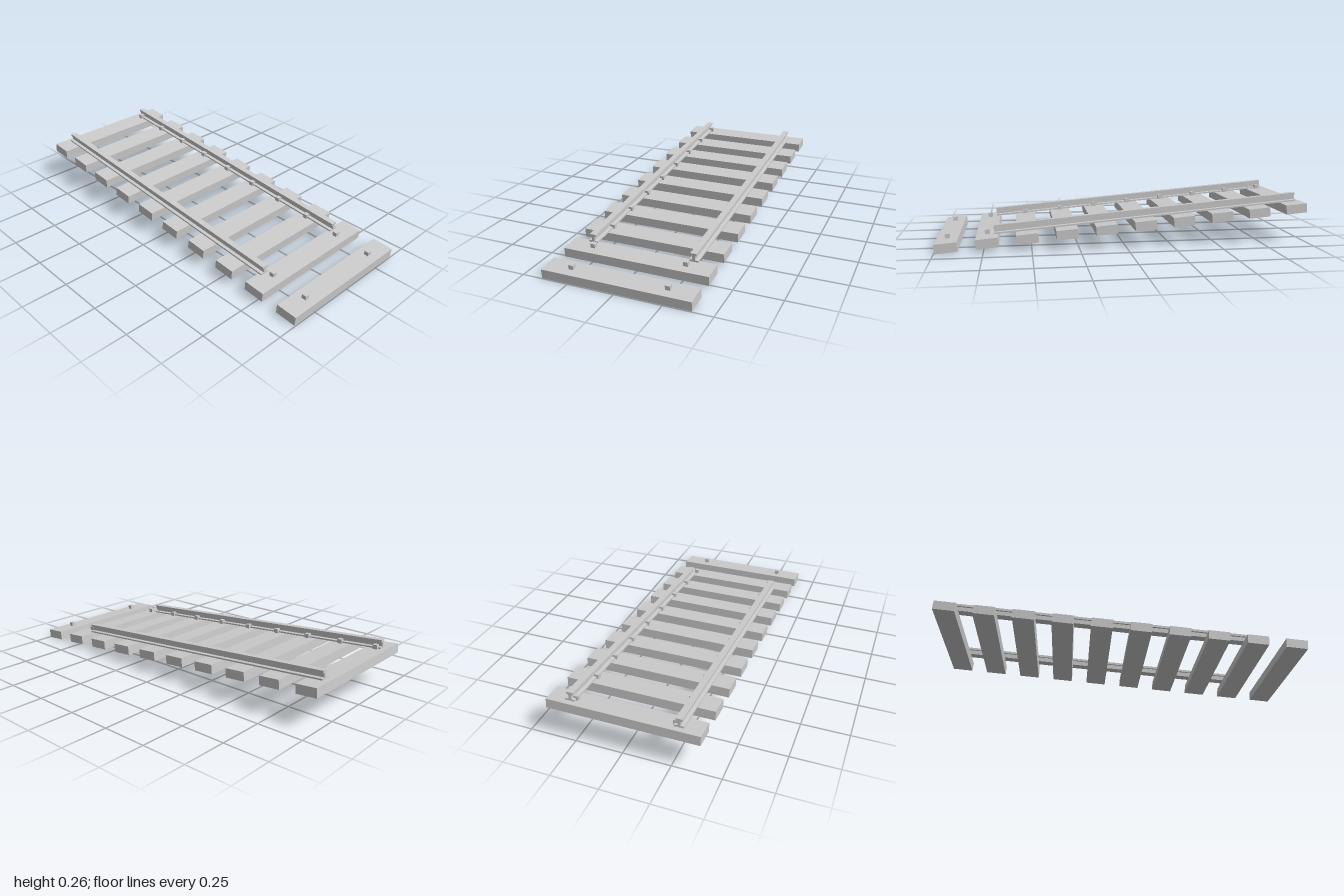
import * as THREE from 'three';

const SLOPE = 0.0834;
const TIES = 10;
const PITCH = 0.2095;

export function createModel() {
  const model = new THREE.Group();
  model.name = 'inclinedTrack';
  const material = new THREE.MeshStandardMaterial({ color: 0xcccccc, flatShading: true });

  // Everything sits in a tilted frame whose y = 0 is the top of the sleepers
  const track = new THREE.Group();
  track.name = 'track';
  track.rotation.x = SLOPE;
  track.position.set(0, 0.1335, 0.002);
  model.add(track);

  const add = (name, geometry, x, y, z) => {
    const mesh = new THREE.Mesh(geometry, material);
    mesh.name = name;
    mesh.position.set(x, y, z);
    track.add(mesh);
  };

  // Sleepers, each with a pair of spikes inside the rails
  const sleeper = new THREE.BoxGeometry(0.788, 0.05, 0.116);
  const spike = new THREE.BoxGeometry(0.025, 0.025, 0.025);
  for (let i = 0; i < TIES; i++) {
    const z = (i - (TIES - 1) / 2) * PITCH;
    add('sleeper', sleeper, 0, -0.025, z);
    for (const side of [-1, 1]) add('spike', spike, side * 0.255, 0.0105, z - 0.002);
  }

  // Rails: I-shaped section (foot, web, head) run along the slope
  const half = [[0.025, 0.002], [0.025, 0.010], [0.007, 0.012], [0.007, 0.035], [0.017, 0.035], [0.017, 0.048]];
  const outline = [...half, ...half.map(([x, y]) => [-x, y]).reverse()];
  const section = new THREE.Shape(outline.map(([x, y]) => new THREE.Vector2(x, y)));
  const length = 1.668;
  const rail = new THREE.ExtrudeGeometry(section, { depth: length, bevelEnabled: false });
  rail.translate(0, 0, -length / 2);
  add('rightRail', rail, -0.278, 0, -0.139);
  add('leftRail', rail, 0.278, 0, -0.139);

  return model;
}
